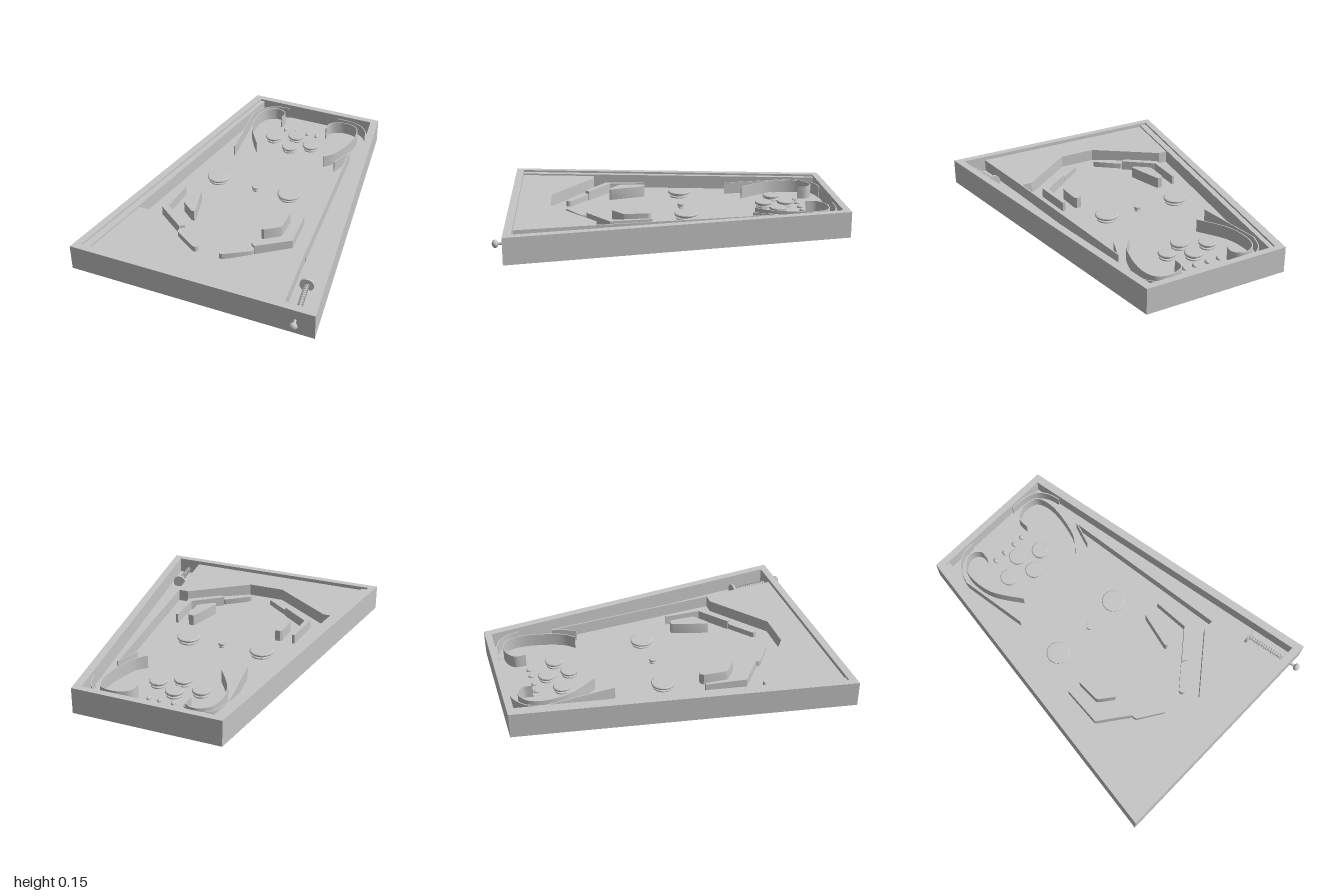
import * as THREE from 'three';
import { toCreasedNormals } from 'three/addons/utils/BufferGeometryUtils.js';

const FLOOR = 0.058, MID = -0.042; // playfield height and its centre line

export function createModel() {
  const root = new THREE.Group();
  root.name = 'pinballTable';
  const grey = new THREE.MeshStandardMaterial({ color: 0xc6c6c6 });
  grey.name = 'plainGrey';

  const add = (name, geometry, parent = root) => {
    const mesh = new THREE.Mesh(geometry, grey);
    mesh.name = name;
    parent.add(mesh);
    return mesh;
  };
  const toPlan = pts => pts.map(([x, z]) => new THREE.Vector2(x, -z));
  const mirror = pts => pts.map(([x, z]) => [2 * MID - x, z]);

  // Upright solid from a plan shape between two heights
  const extrude = (shape, y0, y1) => {
    const g = new THREE.ExtrudeGeometry(shape, { depth: y1 - y0, bevelEnabled: false, curveSegments: 16 });
    g.rotateX(-Math.PI / 2).translate(0, y0, 0);
    return toCreasedNormals(g, 0.6);
  };
  const slab = (name, pts, y0, y1) => add(name, extrude(new THREE.Shape(toPlan(pts)), y0, y1));

  // Thin wall following a smooth or straight path
  const wall = (name, pts, y1, width = 0.006) => {
    const curve = new THREE.SplineCurve(toPlan(pts));
    const n = pts.length > 2 ? 40 : 1;
    const near = [], far = [];
    for (let i = 0; i <= n; i++) {
      const p = curve.getPoint(i / n), t = curve.getTangent(i / n);
      const off = new THREE.Vector2(-t.y, t.x).multiplyScalar(width / 2);
      near.push(p.clone().add(off));
      far.unshift(p.clone().sub(off));
    }
    return add(name, extrude(new THREE.Shape([...near, ...far]), FLOOR, y1));
  };

  // Tapered cabinet: floor and surrounding frame (the hole runs counter to the outline)
  const outline = [[-0.432, -1], [0.432, -1], [0.718, 0.938], [-0.718, 0.938]];
  slab('playfield', outline, 0, FLOOR);
  const frame = new THREE.Shape(toPlan(outline));
  frame.holes.push(new THREE.Path(toPlan([[-0.67, 0.893], [0.665, 0.893], [0.39, -0.96], [-0.39, -0.96]])));
  add('cabinetFrame', extrude(frame, FLOOR, 0.152));
  slab('leftLedge', [[-0.39, -0.96], [-0.362, -0.96], [-0.627, 0.893], [-0.67, 0.893]], FLOOR, 0.14);

  // Apron at the player's end
  slab('apron', [[-0.565, 0.44], [-0.51, 0.44], [-0.15, 0.7], [0.07, 0.7], [0.405, 0.44],
    [0.475, 0.44], [0.527, 0.893], [-0.627, 0.893]], FLOOR, 0.13);

  // Launch lane divider and its short branch
  wall('laneDivider', [[0.37, -0.595], [0.473, 0.45]], 0.13, 0.008);
  wall('laneBranch', [[0.37, -0.595], [0.32, -0.455]], 0.13);

  // Curved guides at the far end
  wall('leftHook', [[-0.18, -0.82], [-0.175, -0.87], [-0.21, -0.905], [-0.26, -0.905], [-0.315, -0.86],
    [-0.335, -0.765], [-0.31, -0.63], [-0.21, -0.47]], 0.135);
  wall('rightHook', [[0.14, -0.8], [0.14, -0.86], [0.175, -0.895], [0.24, -0.912], [0.315, -0.89],
    [0.345, -0.805], [0.335, -0.685], [0.295, -0.55], [0.24, -0.48]], 0.135);
  wall('leftCornerGuide', [[-0.177, -0.955], [-0.26, -0.945], [-0.335, -0.89], [-0.375, -0.79]], 0.13);
  wall('leftLaneGuide', [[-0.376, -0.8], [-0.325, -0.38]], 0.13);
  wall('rightCornerGuide', [[0.165, -0.955], [0.27, -0.95], [0.345, -0.92], [0.39, -0.86], [0.408, -0.79]], 0.13);

  // Slingshots, inlane guides and flippers, mirrored about the centre line
  const sling = [[-0.338, 0.125], [-0.312, 0.125], [-0.303, 0.14], [-0.25, 0.335], [-0.254, 0.347],
    [-0.27, 0.348], [-0.347, 0.288], [-0.354, 0.275], [-0.35, 0.14]];
  const inlane = [[-0.43, 0.125], [-0.415, 0.125], [-0.42, 0.34], [-0.25, 0.475], [-0.275, 0.495], [-0.452, 0.365]];
  const ends = [[-0.25, 0.505], [-0.125, 0.595]];
  for (const [side, place] of [['left', p => p], ['right', mirror]]) {
    slab(side + 'Slingshot', place(sling), FLOOR, 0.125);
    slab(side + 'InlaneGuide', place(inlane), FLOOR, 0.115);
    const [pivot, tip] = toPlan(place(ends));
    const a = tip.clone().sub(pivot).angle(), q = Math.PI / 2;
    const flipper = new THREE.Shape();
    flipper.absarc(pivot.x, pivot.y, 0.026, a + q, a + 3 * q, false);
    flipper.absarc(tip.x, tip.y, 0.018, a - q, a + q, false);
    add(side + 'Flipper', extrude(flipper, FLOOR + 0.006, 0.098));
  }

  // Bumpers: base ring, waist and rounded cap
  const bumperProfile = r => toCreasedNormals(new THREE.LatheGeometry([
    [0.85, 0], [0.85, 0.007], [0.68, 0.01], [0.68, 0.019], [0.96, 0.021], [1, 0.025], [1, 0.031], [0.93, 0.035], [0, 0.036],
  ].map(([x, y]) => new THREE.Vector2(x * r, y)), 40), 0.6);
  const bumpers = [[-0.3, -0.09, 0.068], [0.165, -0.085, 0.068], [-0.033, -0.712, 0.051],
    [-0.165, -0.65, 0.051], [0.094, -0.643, 0.051], [-0.025, -0.577, 0.051], [-0.048, -0.077, 0.022]];
  for (const [x, z, r] of bumpers) {
    const small = r < 0.03;
    const bumper = add(small ? 'centrePost' : 'bumper', bumperProfile(r));
    bumper.position.set(x, FLOOR, z);
    if (small) bumper.scale.y = 0.8;
  }

  // Row of small rollover pins
  for (const x of [-0.14, -0.066, 0.015, 0.079]) {
    const pin = add('rolloverPin', new THREE.SphereGeometry(0.012, 16, 10));
    pin.scale.z = 1.5;
    pin.position.set(x, FLOOR + 0.004, -0.795);
  }

  // Plunger: built along +z, then turned to follow the lane
  const plunger = new THREE.Group();
  plunger.name = 'plunger';
  plunger.position.set(0.565, 0.087, 0.655);
  plunger.rotation.y = Math.atan2(0.05, 0.325);
  root.add(plunger);
  const rod = (name, r, z0, z1) => add(name,
    new THREE.CylinderGeometry(r, r, z1 - z0, 20).rotateX(Math.PI / 2).translate(0, 0, (z0 + z1) / 2), plunger);
  rod('plungerRod', 0.008, 0, 0.32);
  rod('plungerPlate', 0.04, -0.007, 0.007);
  const coil = [];
  for (let i = 0; i <= 14 * 12; i++) {
    const t = i * Math.PI / 6;
    coil.push(new THREE.Vector3(0.013 * Math.cos(t), 0.013 * Math.sin(t), 0.008 + 0.225 * i / 168));
  }
  add('plungerSpring', new THREE.TubeGeometry(new THREE.CatmullRomCurve3(coil), 240, 0.003, 6), plunger);
  const knob = add('plungerKnob', new THREE.SphereGeometry(0.022, 24, 16), plunger);
  knob.scale.z = 0.8;
  knob.position.z = 0.331;

  return root;
}
